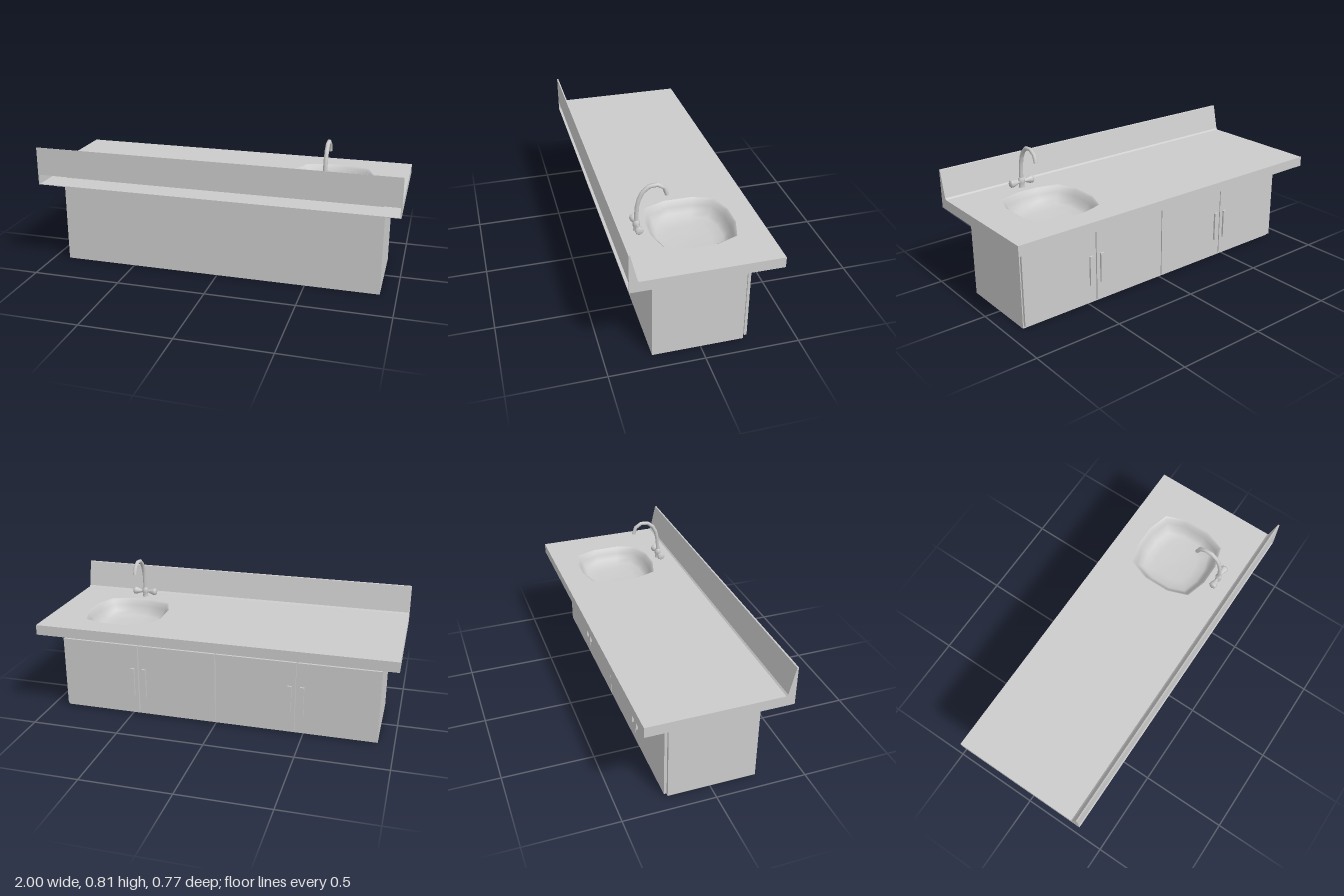
import * as THREE from 'three';

export function createModel() {
  const root = new THREE.Group();
  const grey = new THREE.MeshStandardMaterial({ color: 0xcccccc, side: THREE.DoubleSide });

  const add = (name, geometry, parent = root) => {
    const mesh = new THREE.Mesh(geometry, grey);
    mesh.name = name;
    parent.add(mesh);
    return mesh;
  };
  // Box given by its lower and upper limits on each axis
  const box = (name, x0, x1, y0, y1, z0, z1, parent = root) => {
    const m = add(name, new THREE.BoxGeometry(x1 - x0, y1 - y0, z1 - z0), parent);
    m.position.set((x0 + x1) / 2, (y0 + y1) / 2, (z0 + z1) / 2);
  };
  // Profile of [z, y] points swept along x
  const sweep = (name, points, x0, x1) => {
    const shape = new THREE.Shape(points.map(([z, y]) => new THREE.Vector2(-z, y)));
    const geo = new THREE.ExtrudeGeometry(shape, { depth: x1 - x0, bevelEnabled: false });
    add(name, geo.rotateY(Math.PI / 2).translate(x0, 0, 0));
  };

  // Worktop: a shell with the basin cut out, open under the splashback
  const sinkX = 0.588, sinkZ = -0.03;
  const quarter = [[0.222, 0.075], [0.18, 0.19], [0.06, 0.225]];
  const flip = (sx, sz) => quarter.map(([x, z]) => [x * sx, z * sz]);
  const outline = [...flip(1, 1), ...flip(-1, 1).reverse(), ...flip(-1, -1), ...flip(1, -1).reverse()];

  const top = new THREE.Shape([[-1, -0.385], [1, -0.385], [1, 0.385], [-1, 0.385]]
    .map(([x, y]) => new THREE.Vector2(x, y)));
  top.holes.push(new THREE.Path(outline.map(([x, z]) => new THREE.Vector2(sinkX + x, -(sinkZ + z)))));
  add('worktop', new THREE.ShapeGeometry(top).rotateX(-Math.PI / 2).translate(0, 0.55, 0));
  box('worktopLip', -1, 1, 0.493, 0.55, -0.385, -0.379);

  const splash = [[0.387, 0.708], [0.379, 0.706], [0.346, 0.558], [0.338, 0.55]];
  sweep('splashback', [[0.387, 0.55], ...splash], -1, 1);
  const end = [[0.387, 0.493], ...splash, [-0.385, 0.55], [-0.385, 0.493]];
  sweep('worktopEndRight', end, -1, -0.994);
  sweep('worktopEndLeft', end, 0.994, 1);

  // Basin: shrinking copies of the outline, lofted down to the floor
  const rings = [[1, 0.55], [0.95, 0.541], [0.9, 0.515], [0.84, 0.485], [0.74, 0.463], [0.5, 0.455], [0, 0.453]];
  const n = outline.length, pos = [], idx = [];
  rings.forEach(([s, y], r) => outline.forEach(([x, z], i) => {
    pos.push(sinkX + x * s, y, sinkZ + z * s);
    if (r === rings.length - 1) return;
    const a = r * n + i, b = r * n + (i + 1) % n;
    idx.push(a, b, a + n, b, b + n, a + n);
  }));
  const basin = new THREE.BufferGeometry();
  basin.setAttribute('position', new THREE.Float32BufferAttribute(pos, 3));
  basin.setIndex(idx.reverse());
  basin.computeVertexNormals();
  add('basin', basin);

  // Rectangular rings: worktop underside and the stepped frame below it
  const frame = (name, w, z0, z1, y0, y1) => {
    const ring = (a, b, c) => [[-a, -b], [a, -b], [a, -c], [-a, -c]].map(([x, y]) => new THREE.Vector2(x, y));
    const shape = new THREE.Shape(ring(w, z1, z0));
    shape.holes.push(new THREE.Path(ring(0.9, 0.245, -0.245)));
    const geo = new THREE.ExtrudeGeometry(shape, { depth: y1 - y0, bevelEnabled: false });
    add(name, geo.rotateX(-Math.PI / 2).translate(0, y0, 0));
  };
  frame('worktopUnderside', 0.994, -0.379, 0.387, 0.493, 0.496);
  frame('frameUpper', 0.95, -0.266, 0.292, 0.472, 0.493);
  frame('frameLower', 0.946, -0.264, 0.289, 0.455, 0.472);

  // Cabinet carcass, open below
  const cabinet = new THREE.Group();
  cabinet.name = 'cabinet';
  root.add(cabinet);
  box('wallPlain', -0.91, 0.91, 0, 0.46, 0.249, 0.255, cabinet);
  box('wallDoors', -0.91, 0.91, 0, 0.46, -0.23, -0.224, cabinet);
  box('sideRight', -0.91, -0.904, 0, 0.46, -0.23, 0.255, cabinet);
  box('sideLeft', 0.904, 0.91, 0, 0.46, -0.23, 0.255, cabinet);

  // Doors in two pairs, with handles beside the shared seam, and floor plates behind
  const doorWidth = 0.455;
  for (let i = 0; i < 4; i++) {
    const x0 = -0.91 + i * doorWidth, x1 = x0 + doorWidth;
    box('door', x0 + 0.003, x1 - 0.003, 0.017, 0.428, -0.25, -0.235);
    const hx = i % 2 ? x0 + 0.035 : x1 - 0.035;
    box('doorHandle', hx - 0.011, hx + 0.011, 0.12, 0.29, -0.261, -0.249);
    const plate = new THREE.Shape([[x0, 0.224], [x1, 0.224], [x1, 0.17], [x0, 0.11]]
      .map(([x, y]) => new THREE.Vector2(x, y)));
    add('floorPlate', new THREE.ShapeGeometry(plate).rotateX(-Math.PI / 2).translate(0, 0.004, 0), cabinet);
  }

  // Tap: base, swan neck and two flared knobs
  const tap = new THREE.Group();
  tap.name = 'tap';
  tap.position.set(sinkX, 0, 0.25);
  root.add(tap);
  const lathe = (name, points) => add(name,
    new THREE.LatheGeometry(points.map(([r, y]) => new THREE.Vector2(r, y)), 8), tap);
  lathe('tapBase', [[0.018, 0.55], [0.014, 0.565], [0.019, 0.578], [0.019, 0.597], [0.011, 0.609]]);
  const path = new THREE.CatmullRomCurve3([[0.6, 0], [0.66, -0.002], [0.72, -0.012], [0.77, -0.038],
    [0.797, -0.08], [0.79, -0.125], [0.768, -0.148], [0.733, -0.158]]
    .map(([y, z]) => new THREE.Vector3(0, y, z)));
  add('tapNeck', new THREE.TubeGeometry(path, 8, 0.0115, 8), tap);
  for (const side of [-1, 1]) {
    const knob = lathe('tapKnob', [[0.009, 0], [0.009, 0.022], [0.022, 0.056], [0.022, 0.066], [0.016, 0.072], [0, 0.073]]);
    knob.position.y = 0.583;
    knob.rotation.z = -side * Math.PI / 2;
  }
  return root;
}
